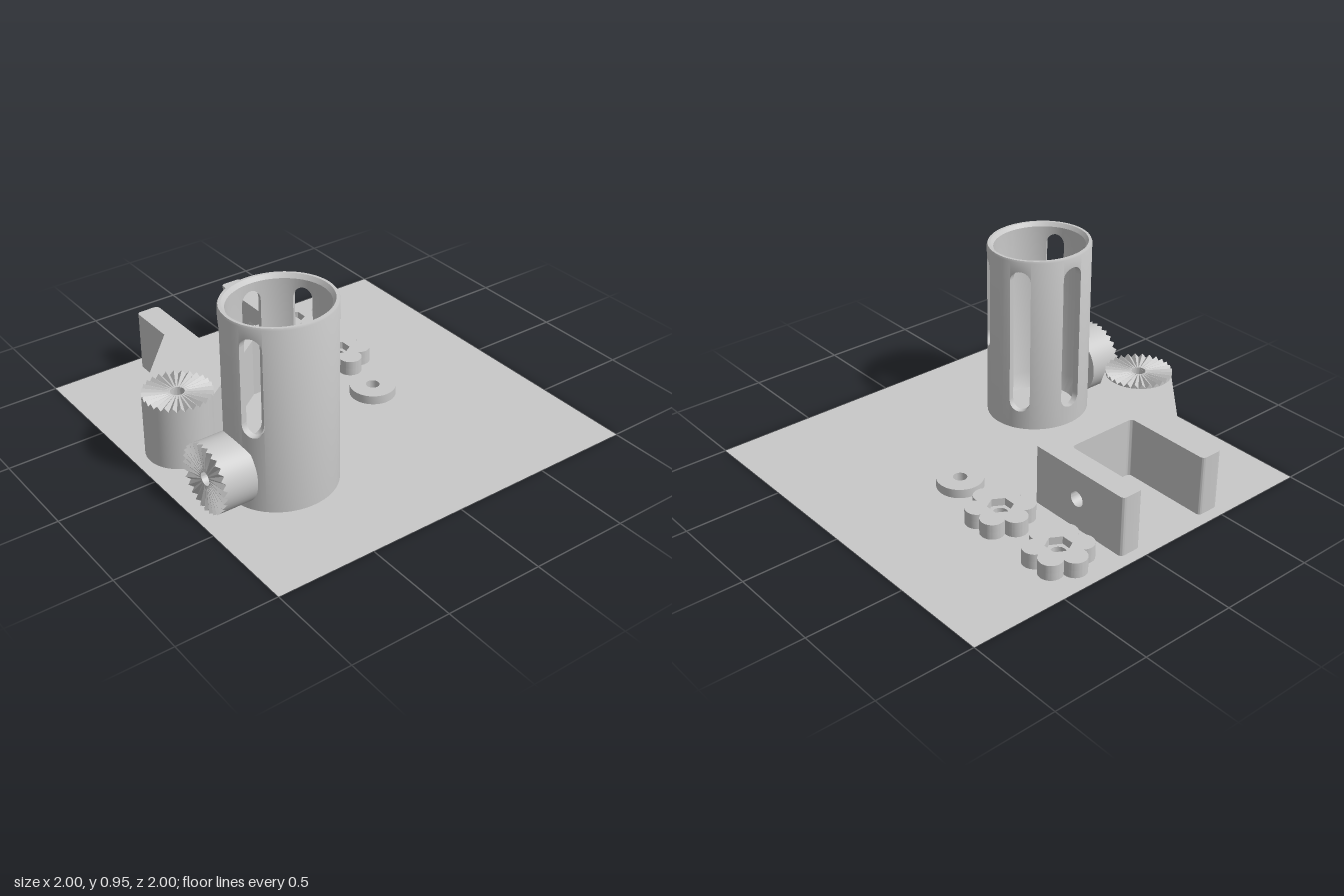
import * as THREE from 'three';
import { toCreasedNormals } from 'three/addons/utils/BufferGeometryUtils.js';

const rad = THREE.MathUtils.degToRad;

// Sweeps a closed (radius, y) profile around the y axis; the profile may vary with the step.
function sweep(angles, profile, capped, out) {
  const rings = angles.map((a, i) =>
    profile(a, i).map(([r, y]) => [r * Math.cos(a), y, r * Math.sin(a)]));
  const tri = (a, b, c) => out.push(...a, ...b, ...c);
  for (let i = 0; i + 1 < rings.length; i++) {
    const A = rings[i], B = rings[i + 1];
    A.forEach((p, k) => {
      const n = (k + 1) % A.length;
      tri(p, A[n], B[k]);
      tri(B[k], A[n], B[n]);
    });
  }
  if (!capped) return;
  const s = rings[0], e = rings[rings.length - 1];
  for (let k = 1; k + 1 < s.length; k++) {
    tri(s[0], s[k + 1], s[k]);
    tri(e[0], e[k], e[k + 1]);
  }
}

function fromTriangles(list) {
  const g = new THREE.BufferGeometry();
  g.setAttribute('position', new THREE.Float32BufferAttribute(list, 3));
  return toCreasedNormals(g, 0.5);
}

// Closed outline from [x, z, cornerRadius] points
function outline(points) {
  const shape = new THREE.Shape();
  const n = points.length;
  points.forEach(([x, y, r = 0], i) => {
    const p = new THREE.Vector2(x, y);
    const toward = ([qx, qy]) => new THREE.Vector2(qx, qy).sub(p).setLength(r).add(p);
    const a = r ? toward(points[(i + n - 1) % n]) : p;
    const b = r ? toward(points[(i + 1) % n]) : p;
    if (i === 0) shape.moveTo(a.x, a.y); else shape.lineTo(a.x, a.y);
    if (r) shape.quadraticCurveTo(x, y, b.x, b.y);
  });
  shape.closePath();
  return shape;
}

function roundHole(x, y, r) {
  return new THREE.Path().absarc(x, y, r, 0, Math.PI * 2, true);
}

function hexHole(x, y, r) {
  const pts = [];
  for (let i = 0; i < 6; i++) {
    const a = -i * Math.PI / 3;
    pts.push(new THREE.Vector2(x + r * Math.cos(a), y + r * Math.sin(a)));
  }
  return new THREE.Path(pts).closePath();
}

function extrude(shape, depth) {
  return toCreasedNormals(new THREE.ExtrudeGeometry(shape,
    { depth, bevelEnabled: false, curveSegments: 16 }), 0.5);
}

// Slab standing upright between two heights, its outline lying in x and z
function slab(shape, y0, y1) {
  return extrude(shape, y1 - y0).rotateX(Math.PI / 2).translate(0, y1, 0);
}

// Sleeve wall with funnel base, bevelled rim and rounded slots
function sleeveGeometry() {
  const out = [], inner = 0.222, outer = 0.253, w = 0.21, R = 0.055;
  const rim = [[outer, 0.94], [0.249, 0.95], [0.236, 0.95], [inner, 0.93]];
  const base = [[inner, 0.08], [0.187, 0], [outer, 0]];
  const slots = [[-60, 0.39], [60, 0.39], [120, 0.1], [180, 0.1], [240, 0.1]];
  slots.forEach(([deg, low], i) => {
    const c = rad(deg);
    const next = rad(i + 1 < slots.length ? slots[i + 1][0] : 300) - w;
    const steps = Math.ceil((next - c - w) / 0.09);
    const solid = [], across = [];
    for (let k = 0; k <= steps; k++) solid.push(c + w + (next - c - w) * k / steps);
    for (let k = 0; k <= 16; k++) across.push(c - w * Math.cos(Math.PI * k / 16));
    const arc = k => R * (1 - Math.sin(Math.PI * k / 16));
    sweep(solid, () => [...base, ...rim], true, out);
    sweep(across, (a, k) => [...base, [outer, low + arc(k)], [inner, low + arc(k)]], false, out);
    sweep(across, (a, k) => [[inner, 0.89 - arc(k)], [outer, 0.89 - arc(k)], ...rim], false, out);
  });
  return fromTriangles(out).scale(1, 1, 1.087);
}

// Bored cylinder with radial locking teeth on its end
function toothedBossGeometry(height) {
  const out = [], teeth = 28, angles = [];
  for (let i = 0; i <= teeth * 2; i++) angles.push(i * Math.PI / teeth);
  sweep(angles, (a, i) => [[0.035, 0], [0.17, 0],
    [0.17, i % 2 ? height - 0.022 : height], [0.035, height - 0.011]], false, out);
  return fromTriangles(out);
}

// Six-lobed knob outline
function lobedOutline() {
  const s = new THREE.Shape();
  for (let i = 0; i < 6; i++) {
    const a = i * Math.PI / 3;
    s.absarc(0.11 * Math.cos(a), 0.11 * Math.sin(a), 0.06, a - rad(97), a + rad(97), false);
  }
  return s.closePath();
}

export function createModel() {
  const model = new THREE.Group();
  model.name = 'mountKit';
  const grey = new THREE.MeshStandardMaterial({ color: 0xc8c8c8, side: THREE.DoubleSide });
  grey.name = 'light grey';

  const add = (parent, name, geometry, x = 0, y = 0, z = 0) => {
    const mesh = new THREE.Mesh(geometry, grey);
    mesh.name = name;
    mesh.position.set(x, y, z);
    parent.add(mesh);
    return mesh;
  };
  const group = (name, x = 0, z = 0) => {
    const g = new THREE.Group();
    g.name = name;
    g.position.set(x, 0, z);
    model.add(g);
    return g;
  };

  // Flat bed under the parts
  add(model, 'bed', new THREE.PlaneGeometry(2, 2).rotateX(-Math.PI / 2));

  // Slotted holder with its toothed joint
  const holder = group('holder', 0.332, 0.515);
  add(holder, 'sleeve', sleeveGeometry(), 0, 0.004, 0);
  add(holder, 'holderJoint', toothedBossGeometry(0.18).rotateX(Math.PI / 2), 0, 0.18, 0.245);

  // Clamp: body, drilled jaw and toothed joint
  const clamp = group('clamp');
  const H = 0.315, r = 0.025;
  const body = outline([[-0.54, -0.1], [-0.35, -0.1, r], [-0.35, 0.215], [-0.015, 0.68],
    [-0.06, 0.87], [-0.28, 0.88], [-0.665, 0.535], [-0.94, 0.535, r], [-0.94, 0.412, r],
    [-0.47, 0.412, r], [-0.47, 0.02, r], [-0.54, 0.02]]);
  body.holes.push(roundHole(-0.16, 0.765, 0.035));
  add(clamp, 'clampBody', slab(body, 0, H));
  add(clamp, 'jawTip', slab(outline([[-0.94, -0.1, r], [-0.74, -0.1],
    [-0.74, 0.02], [-0.94, 0.02, r]]), 0, H));
  [[roundHole(-0.64, 0.16, 0.04), -0.1], [hexHole(-0.64, 0.16, 0.063), -0.04]].forEach(([hole, z], i) => {
    const s = outline([[-0.74, 0], [-0.54, 0], [-0.54, H], [-0.74, H]]);
    s.holes.push(hole);
    add(clamp, i ? 'jawNutPocket' : 'jawScrewHole', extrude(s, 0.06), 0, 0, z);
  });
  add(clamp, 'clampJoint', toothedBossGeometry(0.337), -0.16, 0, 0.765);

  // Two lobed knobs, each with a hex pocket above a screw hole
  for (const x of [-0.767, -0.362]) {
    const knob = group('lobedKnob', x, -0.325);
    const lower = lobedOutline(), upper = lobedOutline();
    lower.holes.push(roundHole(0, 0, 0.037));
    upper.holes.push(hexHole(0, 0, 0.064));
    add(knob, 'knobBase', slab(lower, 0, 0.04));
    add(knob, 'knobTop', slab(upper, 0.04, 0.08));
  }

  // Washer
  const disc = new THREE.Shape().absarc(0, 0, 0.118, 0, Math.PI * 2, false);
  disc.holes.push(roundHole(0, 0, 0.035));
  add(model, 'washer', slab(disc, 0, 0.047), -0.01, 0, -0.285);

  return model;
}
